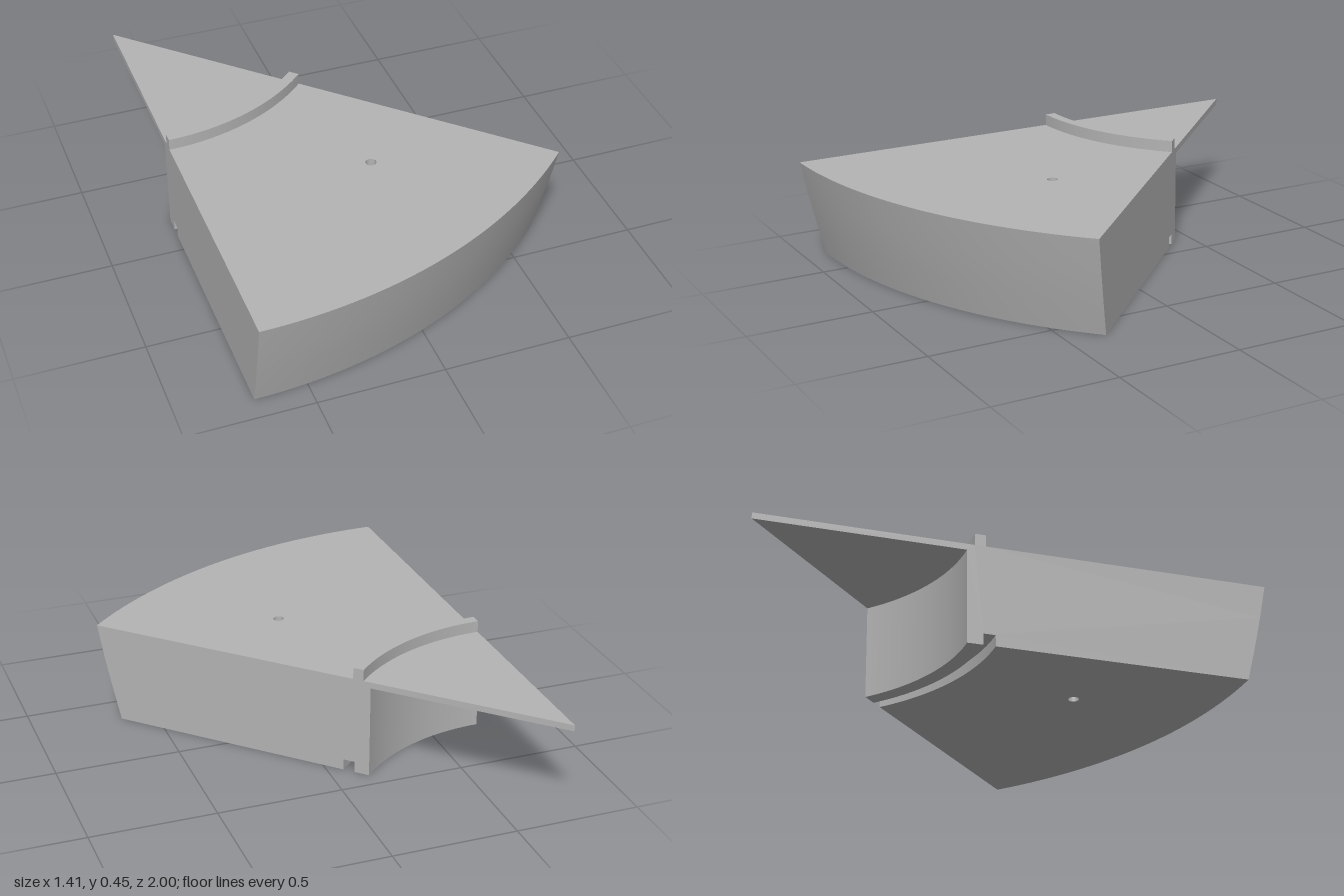
import * as THREE from 'three';

const SWEEP = Math.PI / 4;   // the wedge is one eighth of a round
const TOP = 0.405;
const HOLE_RADIUS = 0.021, HOLE_DEPTH = 0.05;

// Closed cross-section (radius, height), split into its faces, counter-clockwise
const FACES = {
  outerWall: [[1.905, 0], [1.94, 0.135], [1.972, 0.27], [2, TOP]],
  rimOuter: [[0.876, TOP], [0.876, 0.452]],
  rimTop: [[0.876, 0.452], [0.833, 0.452]],
  rimInner: [[0.833, 0.452], [0.833, TOP]],
  tipTop: [[0.833, TOP], [0, TOP]],
  tipUnderside: [[0, 0.38], [0.803, 0.38]],
  innerWall: [[0.803, 0.38], [0.803, 0]],
  lipUnderside: [[0.803, 0], [0.865, 0]],
  grooveInner: [[0.865, 0], [0.865, 0.045]],
  grooveRoof: [[0.865, 0.045], [0.911, 0.045]],
  grooveOuter: [[0.911, 0.045], [0.911, 0]],
};

const toVectors = (pts) => pts.map(([r, y]) => new THREE.Vector2(r, y));

// Turn a flat geometry to face the other way
function flip(geo) {
  const idx = geo.index.array;
  for (let i = 0; i < idx.length; i += 3) [idx[i], idx[i + 1]] = [idx[i + 1], idx[i]];
  geo.computeVertexNormals();
  return geo;
}

// Flat ring sector with a round hole at (radius, angle)
function sector(inner, outer, y, hole, faceDown) {
  const shape = new THREE.Shape();
  shape.absarc(0, 0, outer, -Math.PI / 2, -Math.PI / 2 + SWEEP, false);
  shape.absarc(0, 0, inner, -Math.PI / 2 + SWEEP, -Math.PI / 2, true);
  const path = new THREE.Path();
  path.absarc(hole.x, -hole.z, HOLE_RADIUS, 0, Math.PI * 2, true);
  shape.holes.push(path);
  const geo = new THREE.ShapeGeometry(shape, 32).rotateX(-Math.PI / 2).translate(0, y, 0);
  return faceDown ? flip(geo) : geo;
}

export function createModel() {
  const model = new THREE.Group();
  model.name = 'wedgeSegment';
  const grey = new THREE.MeshStandardMaterial({ color: 0xb4b4b4 });
  grey.name = 'grey';
  const add = (name, geo) => {
    const mesh = new THREE.Mesh(geo, grey);
    mesh.name = name;
    // the tip of the wedge is the centre of every arc
    mesh.position.set(-0.707, 0, -1);
    model.add(mesh);
  };

  // Swept faces
  for (const [name, pts] of Object.entries(FACES)) {
    add(name, new THREE.LatheGeometry(toVectors(pts), 64, 0, SWEEP));
  }

  // Two straight cut sides
  const outline = new THREE.Shape(toVectors(Object.values(FACES).flat()
    .filter((p, i, all) => i === 0 || p[0] !== all[i - 1][0] || p[1] !== all[i - 1][1])));
  add('rightCutSide', new THREE.ShapeGeometry(outline).rotateY(-Math.PI / 2));
  add('leftCutSide', flip(new THREE.ShapeGeometry(outline).rotateY(SWEEP - Math.PI / 2)));

  // Top and bottom, each with a shallow peg hole
  const at = (r, deg) => ({
    x: r * Math.sin(THREE.MathUtils.degToRad(deg)),
    z: r * Math.cos(THREE.MathUtils.degToRad(deg)),
  });
  const topHole = at(1.412, 30), bottomHole = at(1.385, 15);
  add('topFace', sector(0.876, 2, TOP, topHole, false));
  add('bottomFace', sector(0.911, 1.905, 0, bottomHole, true));

  // Hole linings: wall seen from inside plus the floor
  const R = HOLE_RADIUS, D = HOLE_DEPTH;
  const lining = (pts, { x, z }) =>
    new THREE.LatheGeometry(toVectors(pts), 32).translate(x, 0, z);
  add('topHoleWall', lining([[R, TOP], [R, TOP - D]], topHole));
  add('topHoleFloor', lining([[R, TOP - D], [0, TOP - D]], topHole));
  add('bottomHoleWall', lining([[R, D], [R, 0]], bottomHole));
  add('bottomHoleRoof', lining([[0, D], [R, D]], bottomHole));

  return model;
}
